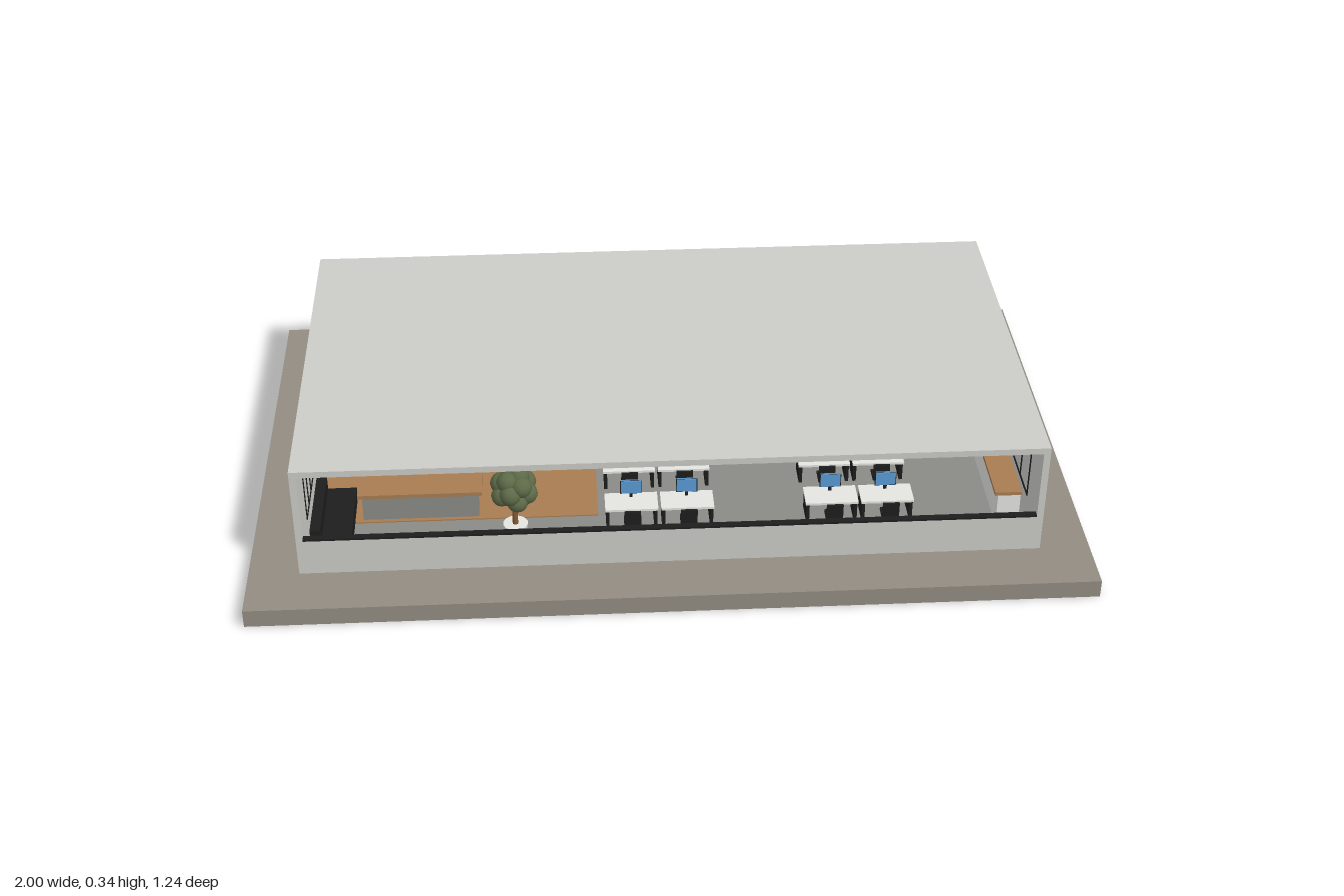
import * as THREE from 'three';

const mat = (name, color) => Object.assign(new THREE.MeshStandardMaterial({ color }), { name });

export function createModel() {
  const M = {
    wall: mat('pale concrete', 0xcbccc7),
    plinth: mat('plinth stone', 0x938c82),
    black: mat('black metal', 0x1c1d1c),
    wood: mat('walnut', 0x85592f),
    oak: mat('oak', 0xa87c52),
    leaf: mat('foliage', 0x5d6a48),
    blue: mat('screen blue', 0x5a9bd4),
    grey: mat('counter grey', 0x8a8a86),
    white: mat('desk white', 0xe4e4e0),
  };
  const root = new THREE.Group();
  root.name = 'officePavilion';

  const group = (name, parent = root) => {
    const g = new THREE.Group();
    g.name = name;
    parent.add(g);
    return g;
  };
  // Box given by its lower and upper limits on each axis
  const box = (name, m, x0, x1, y0, y1, z0, z1, parent = root) => {
    const mesh = new THREE.Mesh(new THREE.BoxGeometry(x1 - x0, y1 - y0, z1 - z0), m);
    mesh.position.set((x0 + x1) / 2, (y0 + y1) / 2, (z0 + z1) / 2);
    mesh.name = name;
    parent.add(mesh);
    return mesh;
  };

  // Plinth and shell: closed on three sides, long opening at the front
  const X = 0.88, ZB = -0.5, ZF = 0.485, Y0 = 0.045, Y1 = 0.335, T = 0.016;
  box('plinth', M.plinth, -1, 1, 0, Y0, -0.62, 0.62);
  const shell = group('shell');
  box('roof', M.wall, -X, X, Y1 - T, Y1, ZB, ZF, shell);
  box('backWall', M.wall, -X, X, Y0, Y1 - T, ZB, ZB + T, shell);
  box('leftWall', M.wall, X - T, X, Y0, Y1 - T, ZB + T, ZF, shell);
  box('rightWall', M.wall, -X, -X + T, Y0, Y1 - T, ZB + T, ZF, shell);
  box('frontParapet', M.wall, -X + T, X - T, Y0, 0.138, ZF - T, ZF, shell);
  box('frontSill', M.black, -X + T, X - T, 0.138, 0.143, ZF - T, ZF, shell);
  box('floor', M.grey, -X + T, X - T, Y0, 0.049, ZB + T, ZF - T, shell);
  box('woodFloor', M.oak, -0.86, -0.17, 0.049, 0.052, -0.3, 0.3, shell);

  // Window frame through a wall; u runs along the wall
  const windowFrame = (name, u0, u1, y0, y1, panes, w0, w1, alongX) => {
    const g = group(name), b = 0.006;
    const bar = (n, a0, a1, c0, c1) => alongX
      ? box(n, M.black, a0, a1, c0, c1, w0, w1, g)
      : box(n, M.black, w0, w1, c0, c1, a0, a1, g);
    bar('bottomRail', u0, u1, y0, y0 + b);
    bar('topRail', u0, u1, y1 - b, y1);
    for (let i = 0; i <= panes; i++) {
      const u = u0 + b / 2 + (u1 - u0 - b) * i / panes;
      bar('mullion', u - b / 2, u + b / 2, y0 + b, y1 - b);
    }
  };
  const P = 0.002;
  windowFrame('backWindow', -0.81, 0.805, 0.085, 0.305, 12, ZB - P, ZB + T + P, true);
  windowFrame('leftFrontWindow', 0.038, 0.38, 0.123, 0.277, 4, X - T - P, X + P, false);
  windowFrame('leftRearWindow', -0.392, -0.137, 0.123, 0.277, 4, X - T - P, X + P, false);
  windowFrame('rightWindow', 0.15, 0.38, 0.123, 0.277, 4, -X - P, -X + T + P, false);

  // Slatted wood screen behind the reception
  const screen = group('slatScreen');
  box('screenPanel', M.wood, -0.775, -0.41, 0.05, 0.275, 0.09, 0.1, screen);
  for (let i = 0; i < 6; i++) box('darkSlat', M.black, -0.77 + i * 0.01, -0.767 + i * 0.01, 0.05, 0.275, 0.1, 0.106, screen);
  for (const x of [-0.65, -0.53]) {
    for (let i = 0; i < 4; i++) box('blackSlat', M.black, x + i * 0.012, x + 0.006 + i * 0.012, 0.05, 0.275, 0.1, 0.106, screen);
  }
  box('wallShelf', M.oak, -0.66, -0.5, 0.185, 0.205, 0.1, 0.13, screen);
  box('doorPost', M.black, -0.845, -0.839, 0.05, 0.27, 0.09, 0.1, screen);
  box('doorHead', M.black, -0.839, -0.775, 0.264, 0.27, 0.09, 0.1, screen);

  // Reception desk and sofa
  const reception = group('receptionDesk');
  box('deskFront', M.grey, -0.74, -0.46, 0.05, 0.12, 0.24, 0.29, reception);
  box('deskTop', M.oak, -0.75, -0.45, 0.12, 0.13, 0.2, 0.3, reception);
  const sofa = group('sofa');
  box('sofaSeat', M.black, -0.85, -0.76, 0.05, 0.085, 0.2, 0.42, sofa);
  box('sofaBack', M.black, -0.855, -0.83, 0.085, 0.12, 0.2, 0.42, sofa);

  // Potted trees with rounded leaf clumps
  const leafGeo = new THREE.SphereGeometry(0.026, 12, 8);
  const tree = (x, y, z) => {
    const g = group('pottedTree');
    const cyl = (name, m, r0, r1, h, cy) => {
      const c = new THREE.Mesh(new THREE.CylinderGeometry(r0, r1, h, 14), m);
      c.position.set(x, cy, z);
      c.name = name;
      g.add(c);
    };
    cyl('pot', M.white, 0.03, 0.023, 0.045, 0.072);
    cyl('trunk', M.wood, 0.005, 0.007, y - 0.09, (y + 0.09) / 2);
    for (let i = 0; i < 14; i++) {
      const v = 1 - 2 * (i + 0.5) / 14, r = Math.sqrt(1 - v * v), a = i * 2.4;
      const s = new THREE.Mesh(leafGeo, M.leaf);
      s.position.set(x + 0.033 * r * Math.cos(a), y + 0.035 * v, z + 0.033 * r * Math.sin(a));
      s.name = 'leafClump';
      g.add(s);
    }
  };
  tree(-0.37, 0.197, 0.38);
  tree(-0.255, 0.21, -0.1);

  // Dark partition frame and shelving
  const shelf = group('shelving');
  box('partitionPost', M.black, -0.315, -0.309, 0.05, 0.27, -0.2, -0.19, shelf);
  box('partitionHead', M.black, -0.41, -0.309, 0.264, 0.27, -0.2, -0.19, shelf);
  for (const x of [-0.21, -0.168]) box('shelfPost', M.black, x, x + 0.004, 0.05, 0.252, -0.3, -0.26, shelf);
  for (let i = 0; i < 5; i++) box('shelfBoard', M.black, -0.206, -0.168, 0.085 + i * 0.041, 0.088 + i * 0.041, -0.3, -0.26, shelf);

  // Workstations: two clusters of two by two desks
  const chair = (x, z, dir, parent) => {
    box('chairSeat', M.black, x - 0.02, x + 0.02, 0.085, 0.092, z - 0.02, z + 0.02, parent);
    box('chairBack', M.black, x - 0.02, x + 0.02, 0.092, 0.132, z + dir * 0.02 - 0.003, z + dir * 0.02 + 0.003, parent);
    box('chairLeg', M.black, x - 0.004, x + 0.004, 0.049, 0.085, z - 0.004, z + 0.004, parent);
  };
  for (const x of [-0.09, 0.045, 0.395, 0.53]) {
    for (const z of [0.32, 0.16]) {
      const g = group('workstation');
      box('desktop', M.white, x - 0.064, x + 0.064, 0.098, 0.104, z - 0.035, z + 0.035, g);
      for (const s of [-1, 1]) box('deskSide', M.black, x + s * 0.058 - 0.004, x + s * 0.058 + 0.004, 0.049, 0.098, z - 0.03, z + 0.03, g);
      box('monitor', M.black, x - 0.026, x + 0.026, 0.115, 0.15, z - 0.02, z - 0.016, g);
      for (const dz of [-0.022, -0.016]) box('screen', M.blue, x - 0.024, x + 0.024, 0.117, 0.152, z + dz, z + dz + 0.002, g);
      box('monitorStand', M.black, x - 0.004, x + 0.004, 0.104, 0.115, z - 0.02, z - 0.016, g);
      chair(x, z + 0.062, 1, g);
    }
  }

  // Meeting table with chairs
  const meeting = group('meetingArea');
  box('meetingTable', M.oak, 0.14, 0.36, 0.098, 0.105, -0.06, 0.02, meeting);
  for (const x of [0.16, 0.34]) box('tableLeg', M.black, x - 0.005, x + 0.005, 0.049, 0.098, -0.05, 0.01, meeting);
  for (let i = 0; i < 4; i++) {
    chair(0.17 + i * 0.053, 0.045, 1, meeting);
    chair(0.17 + i * 0.053, -0.085, -1, meeting);
  }

  // Slender wood canopy
  const canopy = group('woodCanopy');
  box('canopyTop', M.wood, 0.1, 0.29, 0.311, 0.318, -0.3, -0.15, canopy);
  for (const x of [0.13, 0.275]) for (const z of [-0.29, -0.165]) {
    box('canopyPost', M.wood, x - 0.003, x + 0.003, 0.049, 0.311, z, z + 0.006, canopy);
  }

  // Kitchen: tall cabinets flanking a counter
  const kitchen = group('kitchen');
  for (const x of [0.355, 0.68]) box('tallCabinet', M.oak, x, x + 0.1, 0.049, 0.262, -0.44, -0.37, kitchen);
  box('counter', M.grey, 0.455, 0.68, 0.049, 0.2, -0.44, -0.37, kitchen);
  box('counterTop', M.black, 0.455, 0.68, 0.2, 0.206, -0.44, -0.368, kitchen);
  box('upperRail', M.wood, 0.455, 0.68, 0.237, 0.242, -0.44, -0.4, kitchen);
  for (const x of [0.49, 0.51, 0.6, 0.625]) box('appliance', M.black, x - 0.006, x + 0.006, 0.206, 0.22, -0.42, -0.4, kitchen);

  // Low bench by the left wall
  box('lowBench', M.oak, 0.78, 0.845, 0.142, 0.151, 0.1, 0.4);
  box('benchBase', M.white, 0.79, 0.845, 0.049, 0.142, 0.11, 0.39);

  return root;
}
